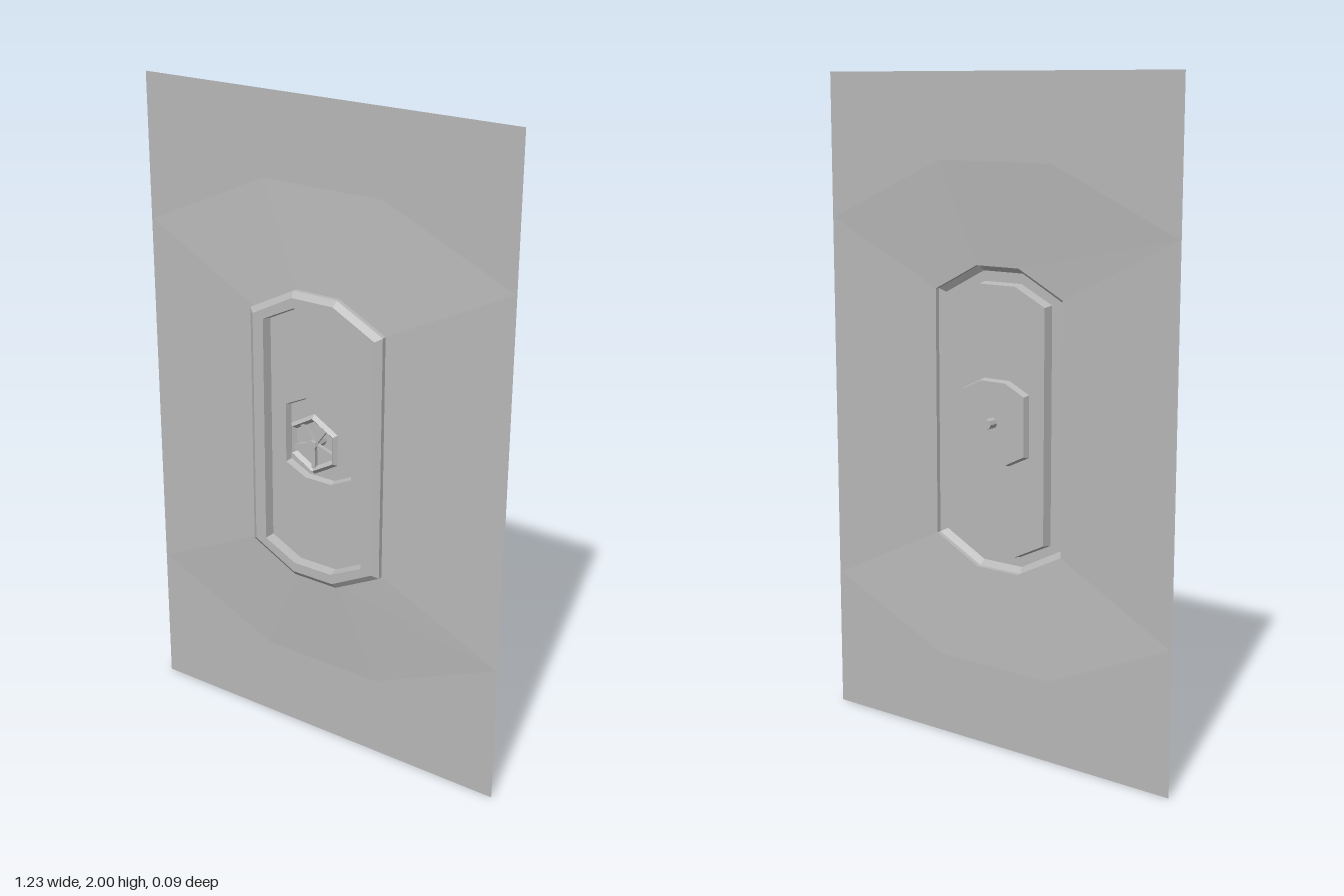
import * as THREE from 'three';

const CY = 1; // height of the panel's centre

// Elongated octagon, symmetric in x and y: a/H is the end edge, w/h the side edge
function octagon([a, H, w, h, z]) {
  return [[a, H], [w, h], [w, -h], [a, -H], [-a, -H], [-w, -h], [-w, h], [-a, H]]
    .map(([x, y]) => [x, CY + y, z]);
}

// Flat-shaded skin between successive octagon loops (outermost first)
function skin(rings) {
  const loops = rings.map(octagon);
  const pos = [];
  for (let r = 0; r < loops.length - 1; r++) {
    for (let i = 0; i < 8; i++) {
      const j = (i + 1) % 8;
      const a = loops[r][i], b = loops[r][j], c = loops[r + 1][j], d = loops[r + 1][i];
      pos.push(...a, ...d, ...c, ...a, ...c, ...b);
    }
  }
  const geo = new THREE.BufferGeometry();
  geo.setAttribute('position', new THREE.Float32BufferAttribute(pos, 3));
  geo.computeVertexNormals();
  return geo;
}

export function createModel() {
  const group = new THREE.Group();
  const grey = new THREE.MeshStandardMaterial({ color: 0xb8b8b8, side: THREE.DoubleSide, flatShading: true });
  grey.name = 'grey metal';

  const add = (name, geo, parent = group) => {
    const mesh = new THREE.Mesh(geo, grey);
    mesh.name = name;
    parent.add(mesh);
    return mesh;
  };

  // Loops: a, H, w, h, z
  const border = [0.2, 1, 0.617, 1, -0.01];
  const bulgeFoot = [0.2, 0.75, 0.612, 0.565, -0.01];
  const rimFoot = [0.075, 0.452, 0.228, 0.373, 0.008];
  const rimShoulder = [0.075, 0.452, 0.228, 0.373, 0.022];
  const rimOuter = [0.07, 0.435, 0.21, 0.362, 0.036];
  const rimInner = [0.065, 0.405, 0.173, 0.352, 0.036];
  const floorEdge = [0.064, 0.4, 0.168, 0.348, 0.006];
  const recessEdge = [0.046, 0.126, 0.116, 0.092, 0.006];
  const recessFoot = [0.044, 0.121, 0.111, 0.088, -0.014];

  // Pressed sheet panel
  add('sheet', skin([border, bulgeFoot, rimFoot]));
  add('raisedRim', skin([rimFoot, rimShoulder, rimOuter, rimInner, floorEdge]));
  add('recessedPlate', skin([floorEdge, recessEdge]));
  add('centreRecess', skin([recessEdge, recessFoot]));
  const cap = new THREE.Shape(octagon(recessFoot).map(([x, y]) => new THREE.Vector2(x, y)));
  add('recessBase', new THREE.ShapeGeometry(cap)).position.z = recessFoot[4];

  // Hand wheel on its axle
  const wheel = new THREE.Group();
  wheel.name = 'handWheel';
  wheel.position.set(0, CY, 0.025);
  group.add(wheel);
  add('wheelRing', new THREE.TorusGeometry(0.083, 0.012, 4, 6), wheel).rotation.z = Math.PI / 6;
  for (let i = 0; i < 5; i++) {
    const angle = -Math.PI / 2 + i * Math.PI * 2 / 5;
    const spoke = add('spoke', new THREE.BoxGeometry(0.065, 0.014, 0.012), wheel);
    spoke.position.set(Math.cos(angle) * 0.043, Math.sin(angle) * 0.043, 0);
    spoke.rotation.z = angle;
  }
  const axle = add('axle', new THREE.CylinderGeometry(0.016, 0.016, 0.088, 8));
  axle.rotation.x = Math.PI / 2;
  axle.position.set(0, CY, -0.002);

  return group;
}
